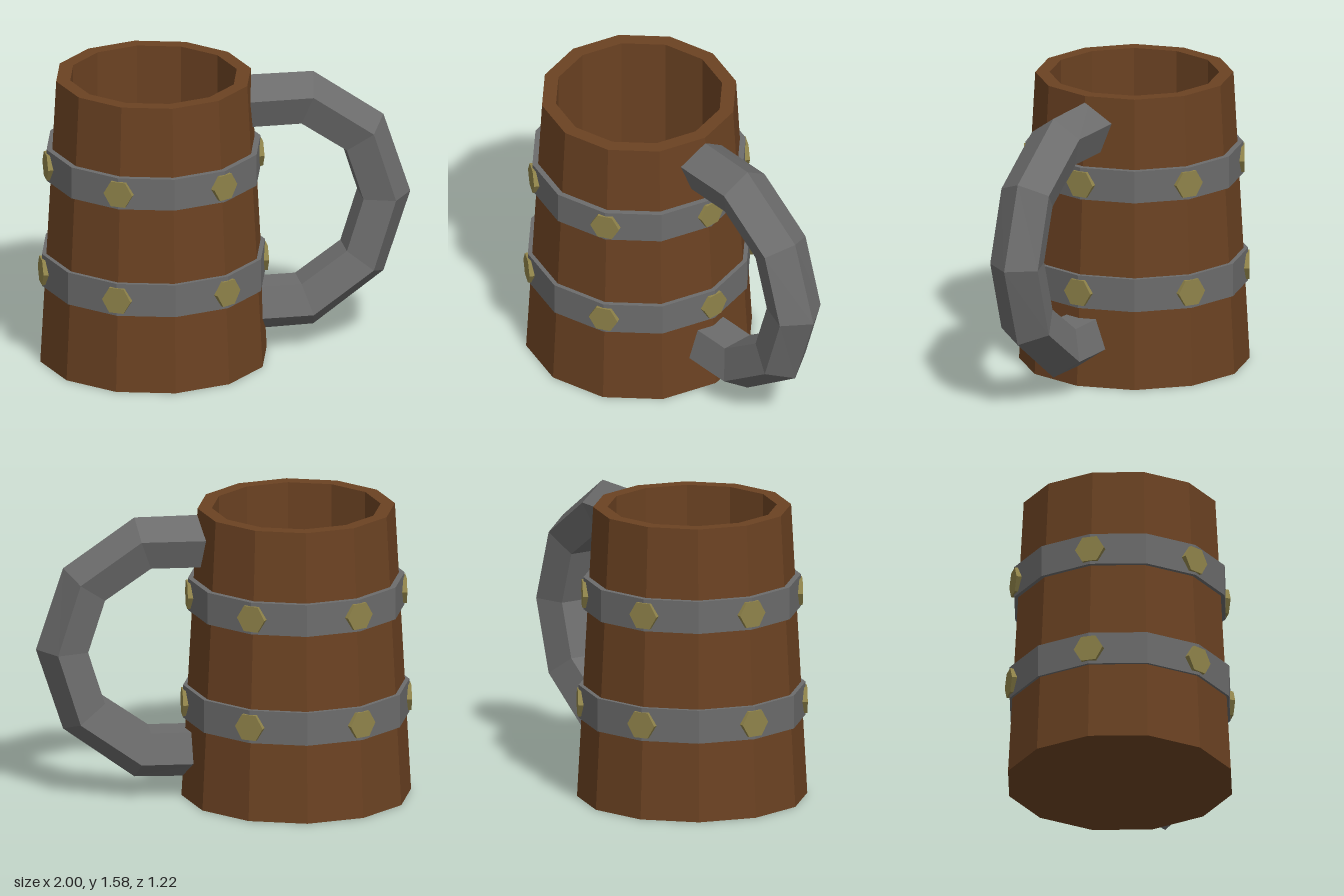
import * as THREE from 'three';

const SIDES = 12;
const CENTRE_X = -0.388;

const flat = (color) => new THREE.MeshStandardMaterial({ color, flatShading: true });
const wood = flat(0x6b4222);
const iron = flat(0x6c6c6c);
const brass = flat(0x8f834a);

function part(name, geometry, material) {
  const mesh = new THREE.Mesh(geometry, material);
  mesh.name = name;
  return mesh;
}

// Faceted solid of revolution from [radius, height] pairs
function turned(profile) {
  return new THREE.LatheGeometry(profile.map(([r, y]) => new THREE.Vector2(r, y)), SIDES);
}

// Pentagonal bar: each station gives its outer ridge, shoulder and inner edge as [x, y]
function handleGeometry(stations) {
  const positions = [];
  const index = [];
  for (const [outer, shoulder, inner] of stations) {
    positions.push(
      ...outer, 0, ...shoulder, 0.145, ...inner, 0.09,
      ...inner, -0.09, ...shoulder, -0.145
    );
  }
  const last = stations.length - 1;
  for (let s = 0; s < last; s++) {
    for (let k = 0; k < 5; k++) {
      const a = s * 5 + k;
      const b = s * 5 + (k + 1) % 5;
      index.push(a, b, a + 5, b, b + 5, a + 5);
    }
  }
  // End caps, buried in the wall
  for (let k = 1; k < 4; k++) {
    index.push(0, k + 1, k, last * 5, last * 5 + k, last * 5 + k + 1);
  }
  const geometry = new THREE.BufferGeometry();
  geometry.setAttribute('position', new THREE.Float32BufferAttribute(positions, 3));
  geometry.setIndex(index);
  const faceted = geometry.toNonIndexed();
  faceted.computeVertexNormals();
  return faceted;
}

export function createModel() {
  const model = new THREE.Group();
  model.name = 'mug';

  // Hollow tapered body
  const body = part('body', turned([
    [0, 0], [0.612, 0], [0.526, 1.58], [0.45, 1.58], [0.45, 0.1], [0, 0.1]
  ]), wood);
  body.position.x = CENTRE_X;
  model.add(body);

  // Two iron bands, each with six hexagonal studs
  const studGeometry = new THREE.CylinderGeometry(0.08, 0.08, 0.045, 6).rotateZ(-Math.PI / 2);
  const bands = [
    { name: 'lowerBand', bottom: 0.428, top: 0.608, radius: 0.603, studY: 0.515 },
    { name: 'upperBand', bottom: 1.022, top: 1.197, radius: 0.578, studY: 1.107 }
  ];
  for (const { name, bottom, top, radius, studY } of bands) {
    const group = new THREE.Group();
    group.name = name;
    group.position.x = CENTRE_X;
    const inner = radius - 0.07;
    group.add(part('hoop', turned([
      [inner, bottom], [radius, bottom], [radius, top], [inner, top]
    ]), iron));
    for (let i = 0; i < 6; i++) {
      const angle = i * Math.PI / 3;
      const reach = radius + 0.007 - 0.0225;
      const stud = part('stud', studGeometry, brass);
      stud.position.set(Math.cos(angle) * reach, studY, -Math.sin(angle) * reach);
      stud.rotation.y = angle;
      group.add(stud);
    }
    model.add(group);
  }

  // Handle, from the upper joint round to the lower joint
  model.add(part('handle', handleGeometry([
    [[0.08, 1.545], [0.08, 1.44], [0.08, 1.28]],
    [[0.475, 1.54], [0.45, 1.44], [0.395, 1.28]],
    [[0.855, 1.27], [0.775, 1.21], [0.64, 1.11]],
    [[1.0, 0.825], [0.895, 0.825], [0.73, 0.825]],
    [[0.855, 0.385], [0.775, 0.44], [0.64, 0.54]],
    [[0.475, 0.11], [0.45, 0.21], [0.395, 0.37]],
    [[0.14, 0.105], [0.14, 0.21], [0.14, 0.37]]
  ]), iron));

  return model;
}
